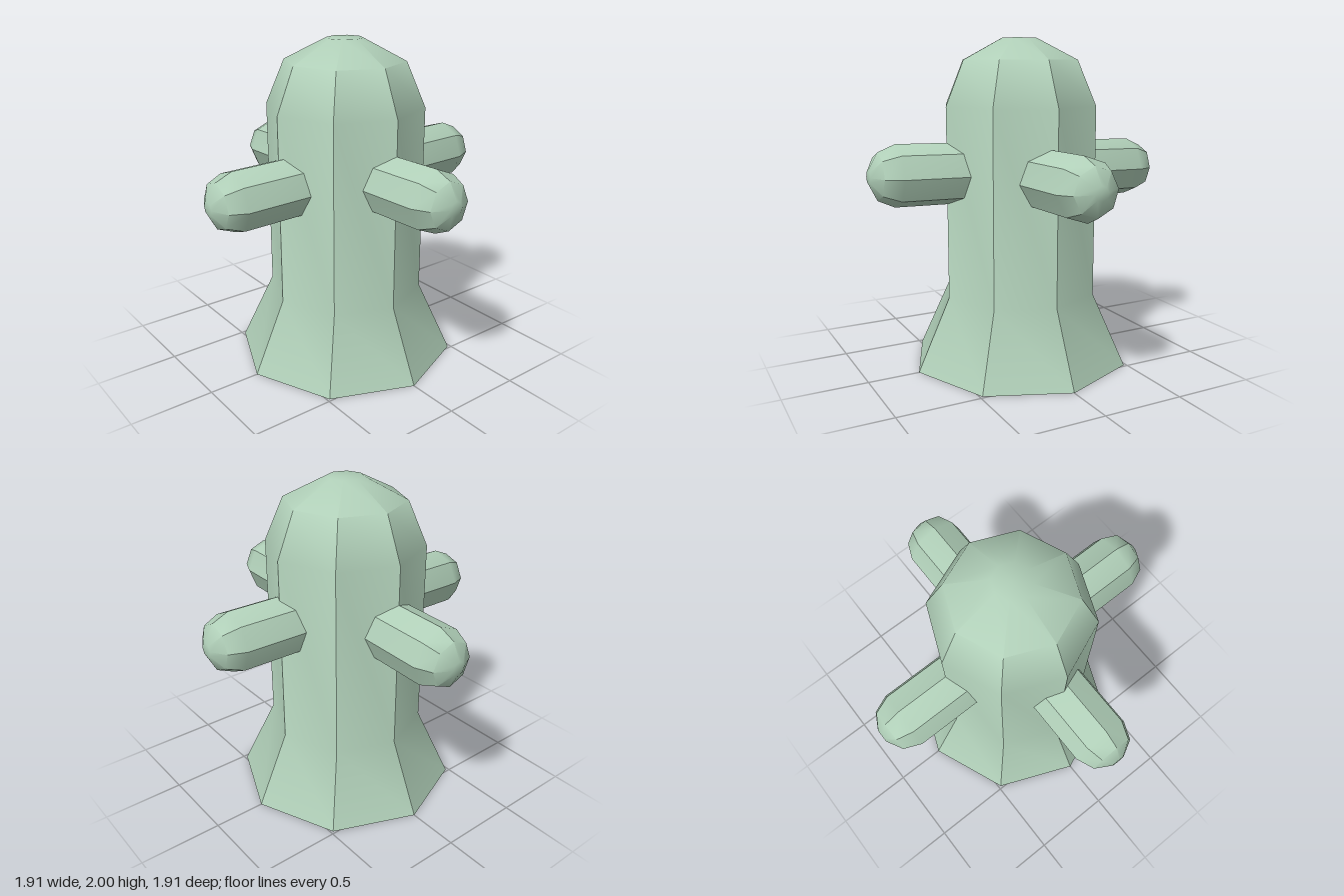
import * as THREE from 'three';
import { toCreasedNormals } from 'three/addons/utils/BufferGeometryUtils.js';

const SIDES = 8;
const CREASE = 0.71; // sharp between the sides, smooth along the profile

const material = new THREE.MeshStandardMaterial({ color: 0xb0cfb8 });

// Eight-sided turned solid from [radius, height] pairs, bottom to top
function turned(profile, name, twist = 0) {
  const points = profile.map(([r, y]) => new THREE.Vector2(r, y));
  const geometry = new THREE.LatheGeometry(points, SIDES).rotateY(twist);
  const mesh = new THREE.Mesh(toCreasedNormals(geometry, CREASE), material);
  mesh.name = name;
  return mesh;
}

// Bar with a faceted dome at both ends, running through the trunk
function crossBar(name, twist) {
  const end = [[0.183, 0.8], [0.139, 0.903], [0.042, 0.955], [0, 0.955]];
  const start = end.map(([r, y]) => [r, -y]).reverse();
  return turned([...start, ...end], name, twist);
}

export function createModel() {
  const model = new THREE.Group();
  model.name = 'hydrant';

  // Flared base, straight shaft and domed top
  model.add(turned([
    [0, 0], [0.685, 0], [0.48, 0.44], [0.48, 1.6],
    [0.365, 1.87], [0.11, 2], [0, 2],
  ], 'trunk'));

  // Side arms, slightly tilted and twisted
  const sideArms = crossBar('sideArms', 0.07);
  sideArms.rotation.z = -Math.PI / 2 + 0.018;
  sideArms.position.set(0, 1.18, 0.02);

  // Front and back arms, rising a little towards the front
  const frontBackArms = crossBar('frontBackArms', 0);
  frontBackArms.rotation.x = Math.PI / 2 - 0.026;
  frontBackArms.position.set(0, 1.195, 0);

  model.add(sideArms, frontBackArms);
  return model;
}
